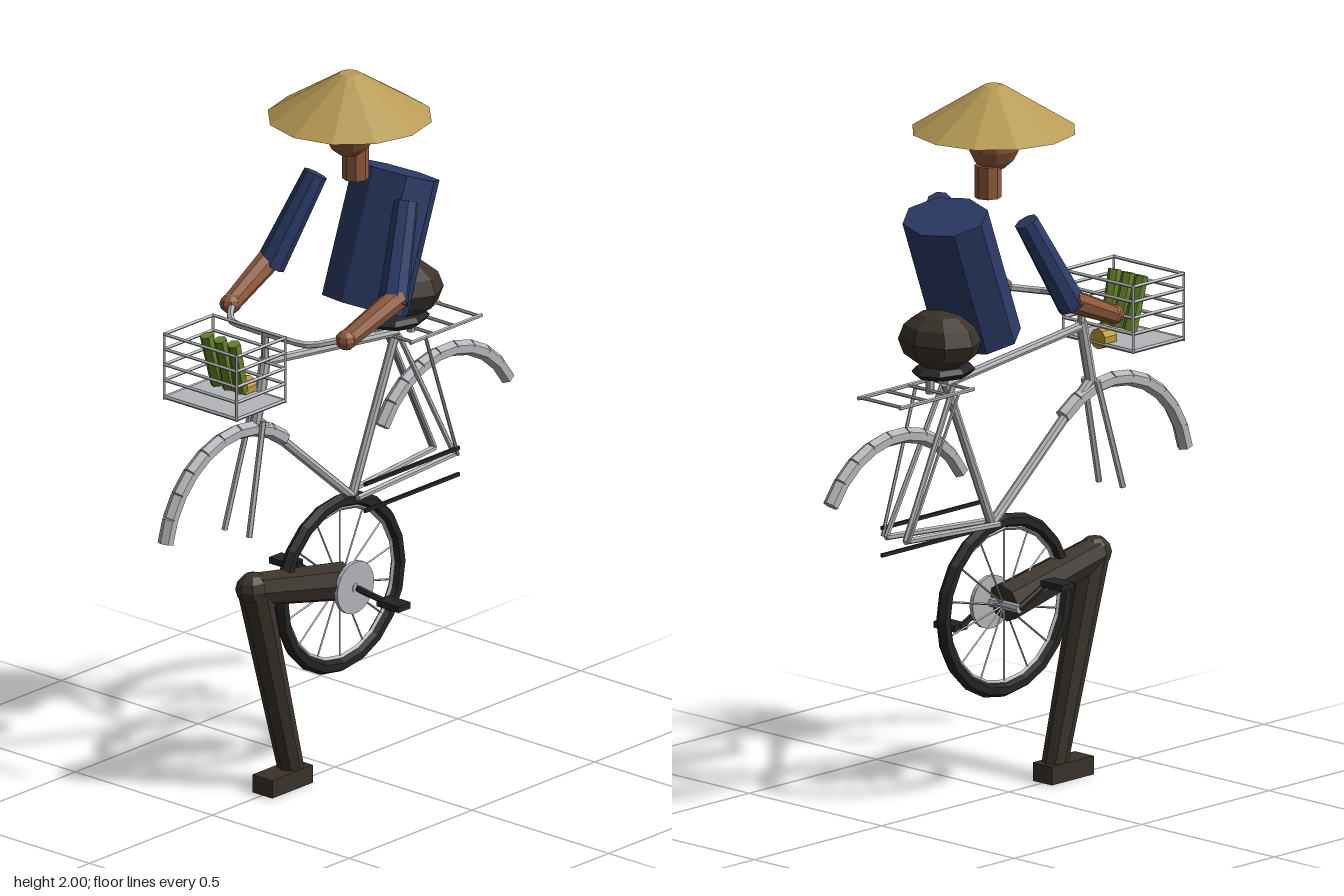
import * as THREE from 'three';

const V = (x, y, z) => new THREE.Vector3(x, y, z);
const mat = (color) => new THREE.MeshStandardMaterial({ color, flatShading: true, side: THREE.DoubleSide });
const STRAW = mat(0xb89b55), SKIN = mat(0x8f5a3c), NAVY = mat(0x2b3b68), DARK = mat(0x3a322b);
const STEEL = mat(0xb4b5b8), RUBBER = mat(0x242426), GREEN = mat(0x66832b), BRASS = mat(0xc09a3a);

export function createModel() {
  const model = new THREE.Group();
  const add = (name, geo, m, x = 0, y = 0, z = 0, parent = model) => {
    const mesh = new THREE.Mesh(geo, m);
    mesh.name = name;
    mesh.position.set(x, y, z);
    parent.add(mesh);
    return mesh;
  };
  const box = (name, w, h, d, m, x, y, z) => add(name, new THREE.BoxGeometry(w, h, d), m, x, y, z);
  // Tapered rod from a (radius ra) to b (radius rb)
  const rod = (name, a, b, ra, m, sides = 6, rb = ra) => {
    const d = b.clone().sub(a);
    const mesh = add(name, new THREE.CylinderGeometry(rb, ra, d.length(), sides), m);
    mesh.position.copy(a).add(b).multiplyScalar(0.5);
    mesh.quaternion.setFromUnitVectors(V(0, 1, 0), d.normalize());
    return mesh;
  };
  const ball = (name, rx, ry, rz, m, x, y, z, ws = 8, hs = 6) => {
    const mesh = add(name, new THREE.SphereGeometry(1, ws, hs), m, x, y, z);
    mesh.scale.set(rx, ry, rz);
    return mesh;
  };

  // Rider: hat, head, torso, hips
  add('hat', new THREE.CylinderGeometry(0.028, 0.228, 0.125, 12, 1, true), STRAW, 0, 1.9375, -0.06);
  add('hatTop', new THREE.CylinderGeometry(0.028, 0.028, 0.004, 12), STRAW, 0, 1.998, -0.06);
  ball('head', 0.073, 0.1, 0.082, SKIN, 0, 1.86, -0.06, 10, 8);
  rod('neck', V(0, 1.69, -0.083), V(0, 1.78, -0.083), 0.037, SKIN, 8);
  const torso = add('torso', new THREE.CylinderGeometry(0.137, 0.137, 0.38, 8), NAVY, 0, 1.487, -0.186);
  torso.scale.z = 0.73;
  torso.rotation.x = -0.35;
  ball('hips', 0.125, 0.082, 0.104, DARK, 0, 1.325, -0.271);

  // Arms
  for (const s of [-1, 1]) {
    rod('upperArm', V(s * 0.165, 1.655, -0.105), V(s * 0.225, 1.405, 0.015), 0.034, NAVY, 8, 0.042);
    rod('forearm', V(s * 0.232, 1.425, 0.0), V(s * 0.212, 1.348, 0.185), 0.034, SKIN, 8, 0.027);
    ball('hand', 0.031, 0.028, 0.03, SKIN, s * 0.211, 1.347, 0.19);
  }

  // Single bent leg
  rod('thigh', V(0, 0.535, -0.02), V(0, 0.61, 0.335), 0.055, DARK, 8, 0.047);
  ball('knee', 0.046, 0.047, 0.05, DARK, 0, 0.612, 0.335);
  rod('shin', V(0, 0.61, 0.33), V(0, 0.03, 0.175), 0.046, DARK, 8, 0.036);
  box('foot', 0.072, 0.052, 0.165, DARK, 0, 0.026, 0.213);

  // Bicycle frame
  rod('headTube', V(0, 1.27, 0.283), V(0, 1.09, 0.322), 0.016, STEEL, 8);
  rod('topTube', V(0, 1.258, 0.287), V(0, 1.195, -0.25), 0.013, STEEL, 8);
  rod('downTube', V(0, 1.1, 0.32), V(0, 0.77, -0.065), 0.014, STEEL, 8);
  rod('seatTube', V(0, 1.195, -0.248), V(0, 0.77, -0.07), 0.013, STEEL, 8);
  rod('seatPost', V(0, 1.18, -0.31), V(0, 1.24, -0.31), 0.012, STEEL, 8);
  for (const s of [-1, 1]) {
    rod('forkBlade', V(s * 0.025, 1.1, 0.32), V(s * 0.045, 0.79, 0.4), 0.009, STEEL);
    rod('seatStay', V(s * 0.02, 1.19, -0.24), V(s * 0.036, 0.795, -0.445), 0.008, STEEL);
    rod('chainStay', V(s * 0.025, 0.77, -0.065), V(s * 0.036, 0.795, -0.445), 0.009, STEEL);
    rod('rackStrut', V(s * 0.08, 1.19, -0.28), V(s * 0.05, 0.795, -0.445), 0.005, STEEL);
    rod('rackRail', V(s * 0.078, 1.19, -0.22), V(s * 0.078, 1.19, -0.51), 0.006, STEEL);
  }
  for (const z of [-0.23, -0.315, -0.4, -0.5]) rod('rackBar', V(-0.08, 1.19, z), V(0.08, 1.19, z), 0.005, STEEL);
  for (const y of [0.74, 0.817]) box('chainRun', 0.008, 0.01, 0.385, RUBBER, 0.053, y, -0.253);

  // Saddle
  ball('saddle', 0.075, 0.026, 0.1, RUBBER, 0, 1.237, -0.257);
  ball('saddlePad', 0.07, 0.02, 0.075, DARK, 0, 1.23, -0.25);

  // Handlebar and stem
  rod('stem', V(0, 1.25, 0.285), V(0, 1.345, 0.285), 0.011, STEEL, 8);
  const bar = [V(-0.205, 1.348, 0.19), V(-0.14, 1.335, 0.265), V(-0.07, 1.338, 0.28), V(0, 1.34, 0.285)];
  const barPath = new THREE.CatmullRomCurve3([...bar, ...bar.slice(0, 3).reverse().map((p) => V(-p.x, p.y, p.z))]);
  add('handlebar', new THREE.TubeGeometry(barPath, 14, 0.01, 6), STEEL);

  // Mudguards: arcs about each axle, angle measured up from the given z direction
  const mudguard = (name, z, dir, from, to) => {
    const pts = [];
    for (let i = 0; i <= 9; i++) {
      const a = THREE.MathUtils.degToRad(from + ((to - from) * i) / 9);
      pts.push(V(0, 0.79 + 0.295 * Math.sin(a), z + dir * 0.295 * Math.cos(a)));
    }
    pts.slice(1).forEach((p, i) => rod(name, pts[i], p, 0.022, STEEL, 6));
  };
  mudguard('frontMudguard', 0.4, 1, 10, 130);
  mudguard('rearMudguard', -0.445, -1, 30, 150);

  // Wheel with spokes
  const CY = 0.53, CZ = -0.02;
  add('tyre', new THREE.TorusGeometry(0.238, 0.02, 6, 20), RUBBER, 0, CY, CZ).rotation.y = Math.PI / 2;
  add('rim', new THREE.TorusGeometry(0.217, 0.007, 4, 20), STEEL, 0, CY, CZ).rotation.y = Math.PI / 2;
  for (let i = 0; i < 14; i++) {
    const a = ((i + 0.5) / 14) * Math.PI * 2;
    rod('spoke', V(0, CY, CZ), V(0, CY + 0.217 * Math.sin(a), CZ + 0.217 * Math.cos(a)), 0.003, STEEL, 4);
  }

  // Chainring, cranks and pedals
  rod('crankAxle', V(-0.06, CY, CZ), V(0.06, CY, CZ), 0.014, STEEL, 8);
  rod('chainring', V(0.046, CY, CZ), V(0.058, CY, CZ), 0.075, STEEL, 18);
  for (const s of [-1, 1]) {
    const y = CY - s * 0.06, z = CZ - s * 0.093;
    rod('crankArm', V(s * 0.058, CY, CZ), V(s * 0.077, y, z), 0.009, RUBBER);
    box('pedal', 0.08, 0.018, 0.05, RUBBER, s * 0.113, y, z);
  }

  // Basket
  const X = 0.132, Z0 = 0.35, Z1 = 0.548;
  box('basketFloor', X * 2, 0.008, Z1 - Z0, STEEL, 0, 1.194, (Z0 + Z1) / 2);
  for (const y of [1.196, 1.245, 1.29, 1.335, 1.378]) {
    for (const z of [Z0, Z1]) rod('basketWire', V(-X, y, z), V(X, y, z), 0.005, STEEL, 4);
    for (const x of [-X, X]) rod('basketWire', V(x, y, Z0), V(x, y, Z1), 0.005, STEEL, 4);
  }
  for (const x of [-X, X]) for (const z of [Z0, Z1]) rod('basketPost', V(x, 1.19, z), V(x, 1.382, z), 0.005, STEEL, 4);

  // Vegetables and lamp
  for (const i of [-1, 0, 1]) {
    rod('vegetable', V(i * 0.042, 1.225, 0.43), V(i * 0.05, 1.373, 0.468), 0.021, GREEN, 6, 0.019);
  }
  rod('lamp', V(0, 1.208, 0.348), V(0, 1.208, 0.395), 0.029, BRASS, 10);

  return model;
}
